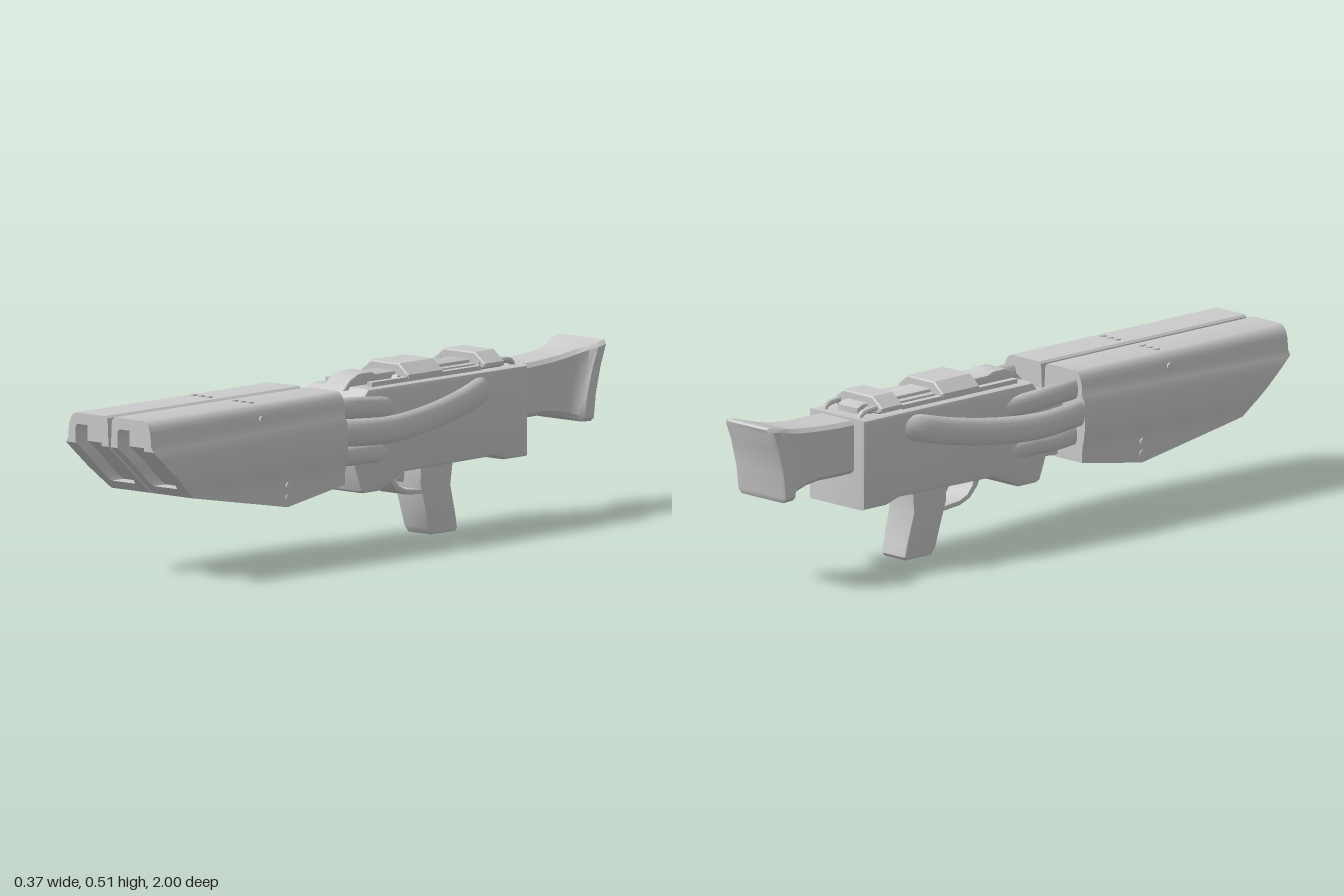
import * as THREE from 'three';
import { toCreasedNormals } from 'three/addons/utils/BufferGeometryUtils.js';

const grey = new THREE.MeshStandardMaterial({ color: 0xcacaca });
grey.name = 'lightGrey';

export function createModel() {
  const model = new THREE.Group();
  const add = (name, geo, crease = 0.6) => {
    const mesh = new THREE.Mesh(toCreasedNormals(geo, crease), grey);
    mesh.name = name;
    model.add(mesh);
    return mesh;
  };

  // Side profile of [z, y] points, extruded across x with a small bevel
  const profile = (pts, halfWidth, bevel = 0.008) => {
    const shape = new THREE.Shape(pts.map(([z, y]) => new THREE.Vector2(z, y)));
    const depth = 2 * (halfWidth - bevel);
    const geo = new THREE.ExtrudeGeometry(shape, {
      depth, bevelThickness: bevel, bevelSize: bevel, bevelOffset: -bevel, bevelSegments: 2,
    });
    return geo.translate(0, 0, -depth / 2).rotateY(-Math.PI / 2);
  };

  // Oval tube: squeezed to half its thickness in x
  const ovalTube = (pts, r) => {
    const curve = new THREE.CatmullRomCurve3(pts.map(([x, y, z]) => new THREE.Vector3(2 * x, y, z)));
    return new THREE.TubeGeometry(curve, 40, r, 14).scale(0.5, 1, 1);
  };

  // Skin between quads; flip reverses the corner order for the mirrored half
  const quadSkin = (quads, sx = 1) => {
    const pos = [];
    for (const q of quads) {
      const order = sx > 0 ? [0, 1, 2, 0, 2, 3] : [0, 2, 1, 0, 3, 2];
      for (const i of order) pos.push(q[i][0] * sx, q[i][1], q[i][2]);
    }
    const geo = new THREE.BufferGeometry();
    geo.setAttribute('position', new THREE.Float32BufferAttribute(pos, 3));
    geo.computeVertexNormals();
    return geo;
  };

  // Barrel shroud levels: y, inner x, outer x, muzzle recess from x, to x
  const levels = [
    [0.17, 0.006, 0.158], [0.21, 0.005, 0.16], [0.238, 0.005, 0.16],
    [0.265, 0.005, 0.164, 0.036, 0.128], [0.275, 0.005, 0.167, 0.031, 0.133],
    [0.31, 0.005, 0.172, 0.031, 0.133], [0.335, 0.005, 0.172, 0.036, 0.128],
    [0.36, 0.005, 0.172, 0.036, 0.128], [0.39, 0.005, 0.17, 0.031, 0.133],
    [0.405, 0.005, 0.161, 0.031, 0.133], [0.435, 0.007, 0.159, 0.031, 0.133],
    [0.445, 0.007, 0.157, 0.036, 0.128], [0.46, 0.008, 0.152],
    [0.472, 0.011, 0.143], [0.478, 0.018, 0.132],
  ];
  const muzzleZ = (y) => y > 0.39 ? 1 : y > 0.238 ? 1 - (0.39 - y) * 1.18 : 0.42 + (y - 0.17) * 5.88;
  const rearZ = (y) => 0.18 + Math.max(0, 0.21 - y) * 6;
  const recess = 0.05;

  const barrelQuads = () => {
    const quads = [];
    const strip = (L, U, a, b, za, zb) => quads.push([
      [L[a], L[0], za(L[0])], [L[b], L[0], zb(L[0])], [U[b], U[0], zb(U[0])], [U[a], U[0], za(U[0])]]);
    const floorZ = (y) => muzzleZ(y) - recess;
    const shelf = (l, up) => {
      const [y, , , a, b] = l, f = muzzleZ(y), k = floorZ(y);
      const q = [[a, y, f], [b, y, f], [b, y, k], [a, y, k]];
      quads.push(up ? q : q.reverse());
    };
    for (let i = 0; i < levels.length - 1; i++) {
      const L = levels[i], U = levels[i + 1];
      strip(L, U, 2, 2, muzzleZ, rearZ);
      strip(L, U, 1, 1, rearZ, muzzleZ);
      strip(L, U, 2, 1, rearZ, rearZ);
      if (L[3] && U[3]) {
        strip(L, U, 1, 3, muzzleZ, muzzleZ);
        strip(L, U, 4, 2, muzzleZ, muzzleZ);
        strip(L, U, 3, 3, muzzleZ, floorZ);
        strip(L, U, 4, 4, floorZ, muzzleZ);
        strip(L, U, 3, 4, floorZ, floorZ);
      } else strip(L, U, 1, 2, muzzleZ, muzzleZ);
    }
    shelf(levels[3], true);
    shelf(levels[11], false);
    const [y, a, b] = levels.at(-1);
    quads.push([[a, y, 1], [b, y, 1], [b, y, 0.18], [a, y, 0.18]]);
    return quads;
  };

  // Paired parts
  for (const s of [1, -1]) {
    const side = s > 0 ? 'left' : 'right';
    add(side + 'Barrel', quadSkin(barrelQuads(), s), 0.5);
    for (const x of [0.05, 0.08, 0.11]) {
      add(side + 'TopRivet', new THREE.CylinderGeometry(0.01, 0.01, 0.006, 12).translate(s * x, 0.479, 0.525));
    }
    for (const [x, y, z] of [[0.159, 0.435, 0.53], [0.161, 0.233, 0.42], [0.159, 0.198, 0.42]]) {
      add(side + 'SideRivet', new THREE.CylinderGeometry(0.011, 0.011, 0.008, 12)
        .rotateZ(Math.PI / 2).translate(s * x, y, z));
    }
    add(side + 'Hose', ovalTube([[s * 0.145, 0.36, 0.22], [s * 0.16, 0.355, 0.12], [s * 0.164, 0.35, 0],
      [s * 0.15, 0.36, -0.16], [s * 0.135, 0.385, -0.32], [s * 0.12, 0.408, -0.42], [s * 0.095, 0.415, -0.46]], 0.04));
    add(side + 'UpperHose', ovalTube([[s * 0.125, 0.425, 0.22], [s * 0.13, 0.422, 0.12],
      [s * 0.118, 0.41, 0.0], [s * 0.09, 0.4, -0.1]], 0.032));
    add(side + 'LowerHose', ovalTube([[s * 0.12, 0.29, 0.22], [s * 0.13, 0.285, 0.12],
      [s * 0.115, 0.28, 0.02], [s * 0.09, 0.27, -0.08]], 0.03));
    // Small cable hoop behind the rear strap
    add(side + 'Cable', new THREE.TubeGeometry(new THREE.CatmullRomCurve3([
      new THREE.Vector3(s * 0.075, 0.482, -0.47), new THREE.Vector3(s * 0.075, 0.482, -0.58),
      new THREE.Vector3(s * 0.073, 0.474, -0.615), new THREE.Vector3(s * 0.07, 0.45, -0.625)]), 16, 0.009, 8));
    // Ridge along each edge of the receiver top
    add(side + 'TopRidge', new THREE.BoxGeometry(0.02, 0.02, 0.46).translate(s * 0.08, 0.468, -0.24));
  }

  // Receiver, with the front lump and the step at the rear
  add('receiver', profile([[0.09, 0.25], [0.06, 0.172], [0.045, 0.165], [-0.02, 0.165], [-0.13, 0.21],
    [-0.5, 0.215], [-0.55, 0.2], [-0.645, 0.2], [-0.645, 0.465], [0.03, 0.465], [0.07, 0.42]], 0.115, 0.012));
  add('barrelMount', profile([[0.2, 0.25], [0.2, 0.4], [0, 0.4], [0, 0.25]], 0.08));
  add('underMount', profile([[0.25, 0.215], [0.25, 0.25], [0.02, 0.25], [0.06, 0.222]], 0.06, 0.005));

  // Top rail with its raised front block
  add('topRail', profile([[-0.6, 0.455], [-0.6, 0.482], [-0.58, 0.492], [-0.08, 0.492], [-0.06, 0.5],
    [-0.01, 0.5], [0.03, 0.485], [0.06, 0.455]], 0.042, 0.006));
  add('railBed', profile([[-0.58, 0.455], [-0.57, 0.482], [-0.15, 0.482], [-0.13, 0.455]], 0.062, 0.005));

  // Chamfered straps over the rail
  const strap = (z0, z1, w) => {
    const pts = [[-w, 0.472], [-w, 0.484], [-w * 0.6, 0.514], [w * 0.6, 0.514], [w, 0.484], [w, 0.472],
      [w * 0.85, 0.466], [-w * 0.85, 0.466]];
    const shape = new THREE.Shape(pts.map((p) => new THREE.Vector2(...p)));
    return new THREE.ExtrudeGeometry(shape, {
      depth: z1 - z0 - 0.008, bevelThickness: 0.004, bevelSize: 0.004, bevelOffset: -0.004, bevelSegments: 1,
    }).translate(0, 0, z0 + 0.004);
  };
  add('rearStrap', strap(-0.56, -0.475, 0.1));
  add('frontStrap', strap(-0.31, -0.16, 0.092));

  // Grip, narrowing toward its foot
  const grip = profile([[-0.255, 0.225], [-0.255, 0.155], [-0.275, 0.09], [-0.295, 0.02], [-0.31, 0.002],
    [-0.41, 0.002], [-0.418, 0.012], [-0.41, 0.05], [-0.385, 0.14], [-0.395, 0.225]], 0.056, 0.008);
  const gp = grip.attributes.position;
  for (let i = 0; i < gp.count; i++) gp.setX(i, gp.getX(i) * (0.87 + gp.getY(i) * 0.6));
  add('grip', grip);
  add('triggerGuard', profile([[-0.11, 0.215], [-0.13, 0.175], [-0.16, 0.145], [-0.2, 0.13], [-0.27, 0.124],
    [-0.27, 0.138], [-0.2, 0.145], [-0.17, 0.158], [-0.15, 0.18], [-0.14, 0.215]], 0.05, 0.003));
  add('trigger', profile([[-0.2, 0.22], [-0.21, 0.18], [-0.225, 0.16], [-0.23, 0.18], [-0.225, 0.22]], 0.015, 0.002));

  // Stock sections: top z, top y, bottom z, bottom y, half width
  const sections = [
    [-0.62, 0.458, -0.62, 0.303, 0.074], [-0.7, 0.459, -0.7, 0.302, 0.074], [-0.78, 0.461, -0.77, 0.301, 0.066],
    [-0.85, 0.467, -0.82, 0.294, 0.065], [-0.9, 0.476, -0.86, 0.285, 0.071], [-0.94, 0.486, -0.885, 0.277, 0.084],
    [-0.963, 0.492, -0.9, 0.27, 0.098], [-0.995, 0.498, -0.938, 0.268, 0.098], [-1, 0.492, -0.944, 0.275, 0.09],
  ];
  const ring = ([tz, ty, bz, by, w], k) => {
    const c = 0.012, h = ty - by, out = [];
    const corners = [[w - c, 0], [w, c / h], [w, 0.35], [w, 0.7], [w, 1 - c / h], [w - c, 1]];
    const loop = corners.concat(corners.map(([x, t]) => [-x, t]).reverse());
    for (const [x, t] of loop) {
      // The butt plate is hollowed slightly toward its middle
      const dip = k >= 6 ? 0.012 * 4 * t * (1 - t) : 0;
      out.push([x, by + h * t, bz + (tz - bz) * t + dip]);
    }
    return out;
  };
  const rings = sections.map(ring);
  const stock = [];
  for (let i = 0; i < rings.length - 1; i++) {
    const a = rings[i], b = rings[i + 1];
    for (let j = 0; j < a.length; j++) {
      const n = (j + 1) % a.length;
      stock.push([a[j], b[j], b[n], a[n]]);
    }
  }
  const end = rings.at(-1);
  for (let j = 0; j < 5; j++) stock.push([end[j], end[11 - j], end[10 - j], end[j + 1]]);
  add('stock', quadSkin(stock), 0.7);

  return model;
}
